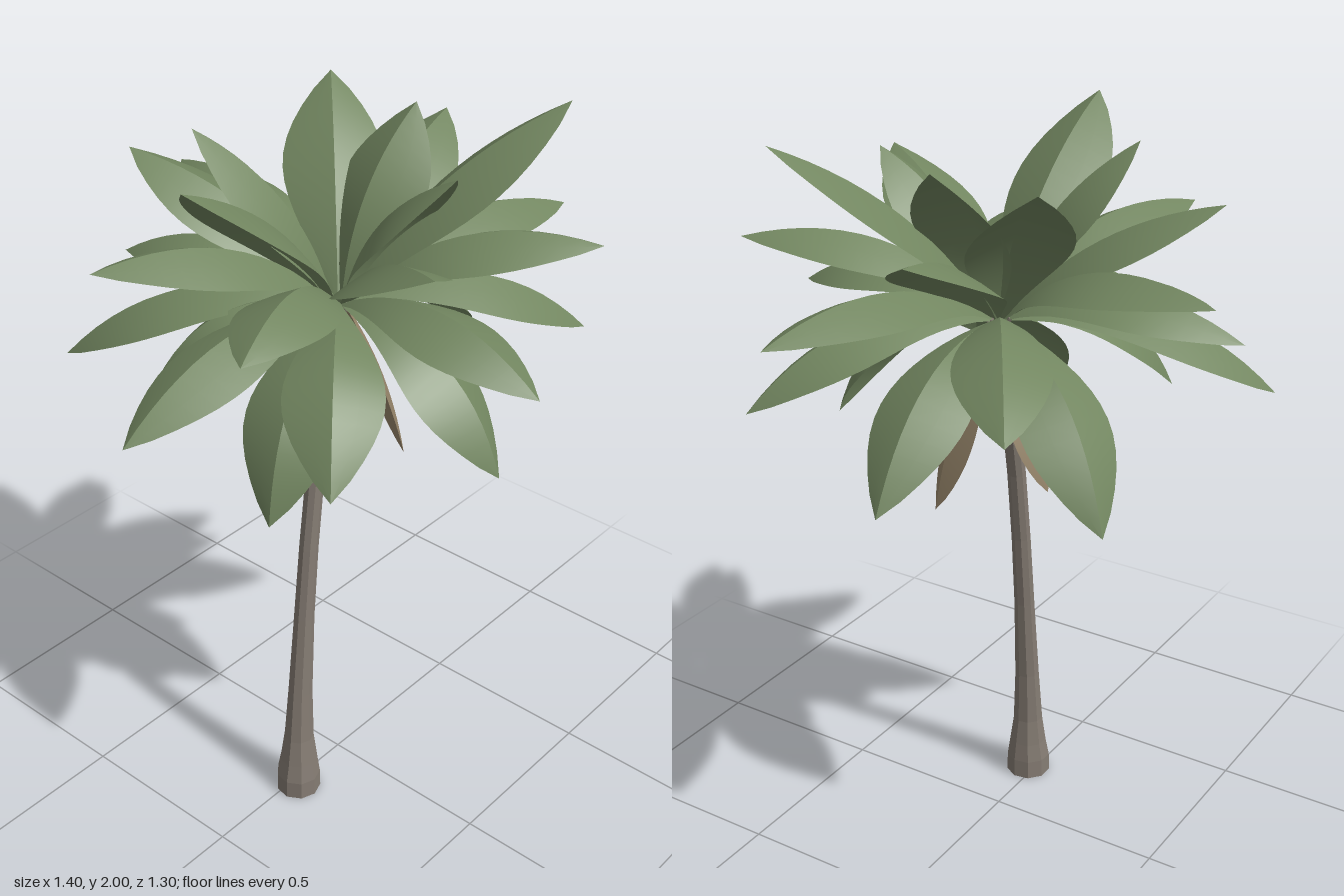
import * as THREE from 'three';

const CROWN = new THREE.Vector3(0, 1.51, 0);

// Arched leaf: two smooth halves meeting in a creased, roof-like midrib.
function leafGeometry(tip, halfWidth, lift, slope) {
  const chord = tip.clone().sub(CROWN);
  const out = new THREE.Vector3(chord.x, 0, chord.z).normalize();
  const side = new THREE.Vector3(0, 1, 0).cross(out).normalize();
  const bulge = chord.clone().cross(side).normalize();
  const start = CROWN.clone().addScaledVector(out, 0.015);
  const control = start.clone().lerp(tip, 0.5).addScaledVector(bulge, lift);
  const curve = new THREE.QuadraticBezierCurve3(start, control, tip);
  const along = 14, across = 2, pos = [], index = [];

  for (const sign of [1, -1]) {
    const base = pos.length / 3;
    for (let i = 0; i <= along; i++) {
      const t = i / along;
      const p = curve.getPoint(t);
      const normal = curve.getTangent(t).cross(side).normalize();
      // Narrow stem, widest beyond the middle, rounded point
      const lens = Math.max(0, Math.sin(Math.PI * Math.pow(t, 1.3)));
      const w = halfWidth * Math.pow(lens, 0.82) + 0.01 * (1 - t);
      for (let j = 0; j <= across; j++) {
        const u = j / across;
        const v = p.clone()
          .addScaledVector(side, sign * w * u * Math.cos(slope))
          .addScaledVector(normal, -w * Math.sin(slope) * (0.8 * u + 0.2 * u * u));
        pos.push(v.x, v.y, v.z);
      }
    }
    const row = across + 1;
    for (let i = 0; i < along; i++) {
      for (let j = 0; j < across; j++) {
        const a = base + i * row + j, b = a + 1, c = a + row, d = c + 1;
        if (sign > 0) index.push(a, c, b, b, c, d);
        else index.push(a, b, c, b, d, c);
      }
    }
  }
  const g = new THREE.BufferGeometry();
  g.setAttribute('position', new THREE.Float32BufferAttribute(pos, 3));
  g.setIndex(index);
  g.computeVertexNormals();
  return g;
}

// Faceted trunk: an open cylinder whose rings follow a leaning centre line.
function trunkGeometry() {
  const rings = [ // x, y, z, radius
    [-0.2, 0, 0.02, 0.064], [-0.2, 0.055, 0.02, 0.063], [-0.197, 0.11, 0.02, 0.054],
    [-0.193, 0.19, 0.018, 0.043], [-0.182, 0.35, 0.016, 0.035], [-0.157, 0.6, 0.012, 0.029],
    [-0.13, 0.82, 0.008, 0.027], [-0.098, 1.03, 0.004, 0.026], [-0.06, 1.22, 0, 0.025],
    [-0.03, 1.37, 0, 0.024], [-0.003, 1.49, 0, 0.014],
  ];
  const n = rings.length - 1;
  const g = new THREE.CylinderGeometry(1, 1, n, 9, n, true);
  const p = g.attributes.position;
  for (let i = 0; i < p.count; i++) {
    const [x, y, z, r] = rings[Math.round(p.getY(i) + n / 2)];
    p.setXYZ(i, x + p.getX(i) * r, y, z + p.getZ(i) * r);
  }
  const flat = g.toNonIndexed();
  flat.computeVertexNormals();
  return flat;
}

export function createModel() {
  const model = new THREE.Group();
  model.name = 'palmTree';
  const bark = new THREE.MeshStandardMaterial({ color: 0x857c73 });
  bark.name = 'greyBark';
  const green = new THREE.MeshStandardMaterial({ color: 0x728660, side: THREE.DoubleSide });
  green.name = 'leafGreen';
  const dry = new THREE.MeshStandardMaterial({ color: 0x96856a, side: THREE.DoubleSide });
  dry.name = 'dryLeafBrown';

  const add = (parent, name, geometry, material) => {
    const mesh = new THREE.Mesh(geometry, material);
    mesh.name = name;
    parent.add(mesh);
    return mesh;
  };

  add(model, 'trunk', trunkGeometry(), bark);

  // Short leaf stalks around the trunk top
  const stalks = new THREE.Group();
  stalks.name = 'leafStalks';
  for (let i = 0; i < 8; i++) {
    const a = (i / 8) * Math.PI * 2;
    const stalk = add(stalks, 'leafStalk', new THREE.CylinderGeometry(0.006, 0.009, 0.06, 5), bark);
    stalk.position.set(Math.cos(a) * 0.02, 1.49, Math.sin(a) * 0.02);
    stalk.rotation.set(Math.sin(a) * 0.5, 0, -Math.cos(a) * 0.5);
  }
  model.add(stalks);

  // Leaf tips in tiers
  const tiers = {
    upperLeaf: { halfWidth: 0.14, lift: 0.13, slope: 0.42, tips: [
      [-0.54, 1.99, 0.02], [0.45, 2.0, 0.36], [0.33, 1.95, -0.31], [-0.21, 1.96, -0.28],
      [0.3, 1.95, 0], [0.04, 1.92, 0.33], [-0.27, 1.84, 0.51], [-0.19, 1.84, -0.53], [0.585, 1.82, -0.12],
    ] },
    middleLeaf: { halfWidth: 0.13, lift: 0.21, slope: 0.45, tips: [
      [0.33, 1.72, 0.56], [-0.58, 1.72, -0.26], [-0.58, 1.65, 0.22], [0.1, 1.68, -0.65],
      [0.7, 1.6, 0.2], [-0.15, 1.51, -0.62], [-0.04, 1.49, 0.65], [0.58, 1.45, -0.38], [-0.7, 1.38, -0.055],
    ] },
    lowerLeaf: { halfWidth: 0.133, lift: 0.23, slope: 0.42, tips: [
      [-0.39, 1.3, -0.61], [0.55, 1.35, 0.39], [-0.43, 1.27, 0.35], [0.595, 1.19, -0.03],
      [0.05, 1.16, 0.49], [0.26, 1.11, -0.46], [-0.42, 1.1, 0.14], [-0.37, 1.27, -0.32],
    ] },
    dryLeaf: { halfWidth: 0.075, lift: 0.05, slope: 0.35, tips: [
      [-0.2, 0.98, -0.03], [0.17, 1.01, 0.09], [0.03, 1.07, -0.17],
    ] },
  };
  for (const [name, { halfWidth, lift, slope, tips }] of Object.entries(tiers)) {
    const tier = new THREE.Group();
    tier.name = name + 'Tier';
    for (const tip of tips) {
      const geometry = leafGeometry(new THREE.Vector3(...tip), halfWidth, lift, slope);
      add(tier, name, geometry, name === 'dryLeaf' ? dry : green);
    }
    model.add(tier);
  }
  return model;
}
